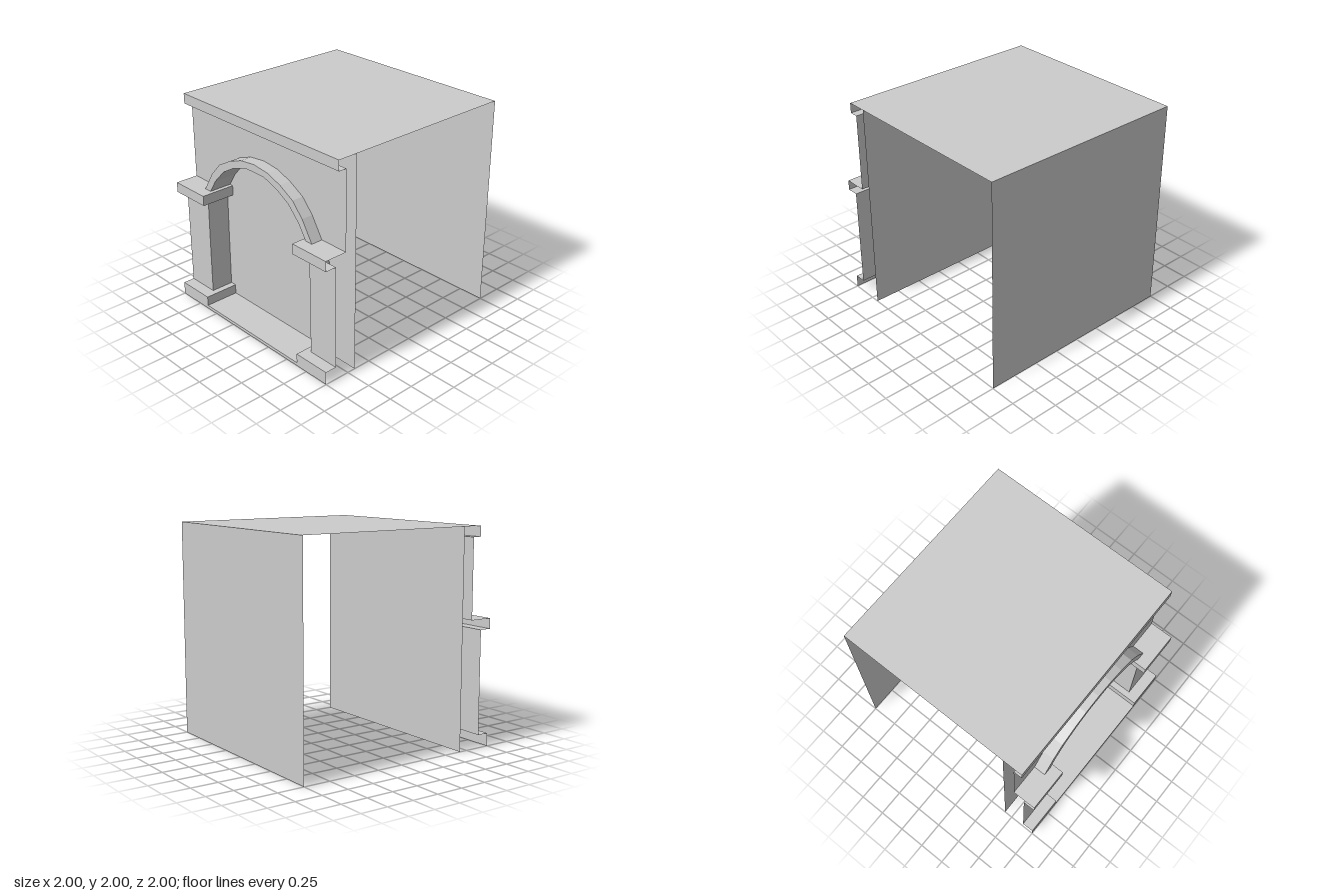
import * as THREE from 'three';

const material = new THREE.MeshStandardMaterial({
  color: 0xcccccc, flatShading: true, side: THREE.DoubleSide,
});

// depths of the layers, from the recessed panel to the plinth front
const PANEL = 0.67, WALL = 0.78, CORNICE = 0.86, PILLAR = 0.89, FRONT = 1;
const CAP_LOW = 1.08, CAP_TOP = 1.175, BASE_LOW = 0.03, BASE_TOP = 0.12, CORNICE_LOW = 1.905;

function makeMesh(name, geometry) {
  const mesh = new THREE.Mesh(geometry, material);
  mesh.name = name;
  return mesh;
}

// open strip of quads between two rows of [x, y, z] points
function ribbon(name, a, b) {
  const pos = [];
  for (let i = 0; i < a.length - 1; i++) {
    for (const p of [a[i], b[i], b[i + 1], a[i], b[i + 1], a[i + 1]]) pos.push(...p);
  }
  const geometry = new THREE.BufferGeometry();
  geometry.setAttribute('position', new THREE.Float32BufferAttribute(pos, 3));
  geometry.computeVertexNormals();
  return makeMesh(name, geometry);
}

// [z, y] profile swept along x
function sheet(name, x0, x1, profile) {
  return ribbon(name, profile.map(([z, y]) => [x0, y, z]), profile.map(([z, y]) => [x1, y, z]));
}

// [x, y] line swept along z
function sweepZ(name, line, z0, z1) {
  return ribbon(name, line.map(([x, y]) => [x, y, z0]), line.map(([x, y]) => [x, y, z1]));
}

// flat outline facing the front
function flat(name, outline, z) {
  const shape = new THREE.Shape(outline.map(([x, y]) => new THREE.Vector2(x, y)));
  return makeMesh(name, new THREE.ShapeGeometry(shape).translate(0, 0, z));
}

// completes a half line (left springing to crown) on the other side
function mirrorLine(half) {
  const other = half.filter(([x]) => x !== 0).map(([x, y]) => [-x, y]).reverse();
  return [...half, ...other];
}

// pillar with its capital and base, on the +x side
function buildSide() {
  const side = new THREE.Group();
  const edge = [[0.69, BASE_TOP], [0.687, 0.7], [0.682, CAP_LOW]];
  side.add(
    sweepZ('pillarReveal', edge, PANEL, PILLAR),
    ribbon('pillarFront', edge.map(([x, y]) => [x, y, PILLAR]), edge.map(([, y]) => [1, y, PILLAR])),

    // capital: overhanging inner end runs back to the panel
    sheet('capital', 0.715, 1, [[PILLAR, CAP_LOW], [FRONT, CAP_LOW], [FRONT, CAP_TOP], [WALL, CAP_TOP]]),
    sheet('capitalInner', 0.6, 0.715, [[PILLAR, CAP_LOW], [FRONT, CAP_LOW], [FRONT, CAP_TOP], [PANEL, CAP_TOP]]),
    sheet('capitalSoffit', 0.6, 0.682, [[PANEL, CAP_LOW], [PILLAR, CAP_LOW]]),
    sweepZ('capitalEnd', [[0.6, CAP_LOW], [0.6, CAP_TOP]], PANEL, FRONT),

    // base
    sheet('base', 0.63, 1, [[FRONT, 0], [FRONT, BASE_TOP], [PILLAR, BASE_TOP]]),
    sheet('baseInnerTop', 0.63, 0.69, [[PILLAR, BASE_TOP], [PANEL, BASE_TOP]]),
    sweepZ('baseEnd', [[0.63, BASE_LOW], [0.63, BASE_TOP]], PANEL, FRONT),
  );
  return side;
}

export function createModel() {
  const model = new THREE.Group();
  model.name = 'archedBlock';

  // large sheets: roof with cornice, back wall, recessed panel, sill
  model.add(
    sheet('roofAndCornice', -1, 1, [[WALL, CORNICE_LOW], [CORNICE, CORNICE_LOW], [CORNICE, 2], [-1, 2]]),
    sheet('backWall', -1, 1, [[-1, 2], [-1, 0]]),
    sheet('recessedPanel', -1, 1, [[PANEL, 0], [PANEL, 2]]),
    sheet('sill', -0.63, 0.63, [[FRONT, 0], [FRONT, BASE_LOW], [PANEL, BASE_LOW]]),
  );

  // arch moulding and the wall around it
  const outer = mirrorLine([[-0.715, CAP_TOP], [-0.6, 1.36], [-0.485, 1.485], [-0.33, 1.57], [-0.175, 1.625], [0, 1.645]]);
  const inner = mirrorLine([[-0.638, CAP_TOP], [-0.555, 1.305], [-0.43, 1.433], [-0.287, 1.515], [-0.122, 1.572]]);
  model.add(
    flat('upperWall', [[-1, CAP_TOP], ...outer, [1, CAP_TOP], [1, CORNICE_LOW], [-1, CORNICE_LOW]], WALL),
    flat('archFace', [...outer, ...[...inner].reverse()], PILLAR),
    sweepZ('archOuterBand', outer, WALL, PILLAR),
    sweepZ('archSoffit', inner, PILLAR, PANEL),
  );

  // pillars on both sides
  const left = buildSide();
  left.name = 'leftPillar';
  const right = buildSide();
  right.name = 'rightPillar';
  right.scale.x = -1;
  model.add(left, right);

  return model;
}
